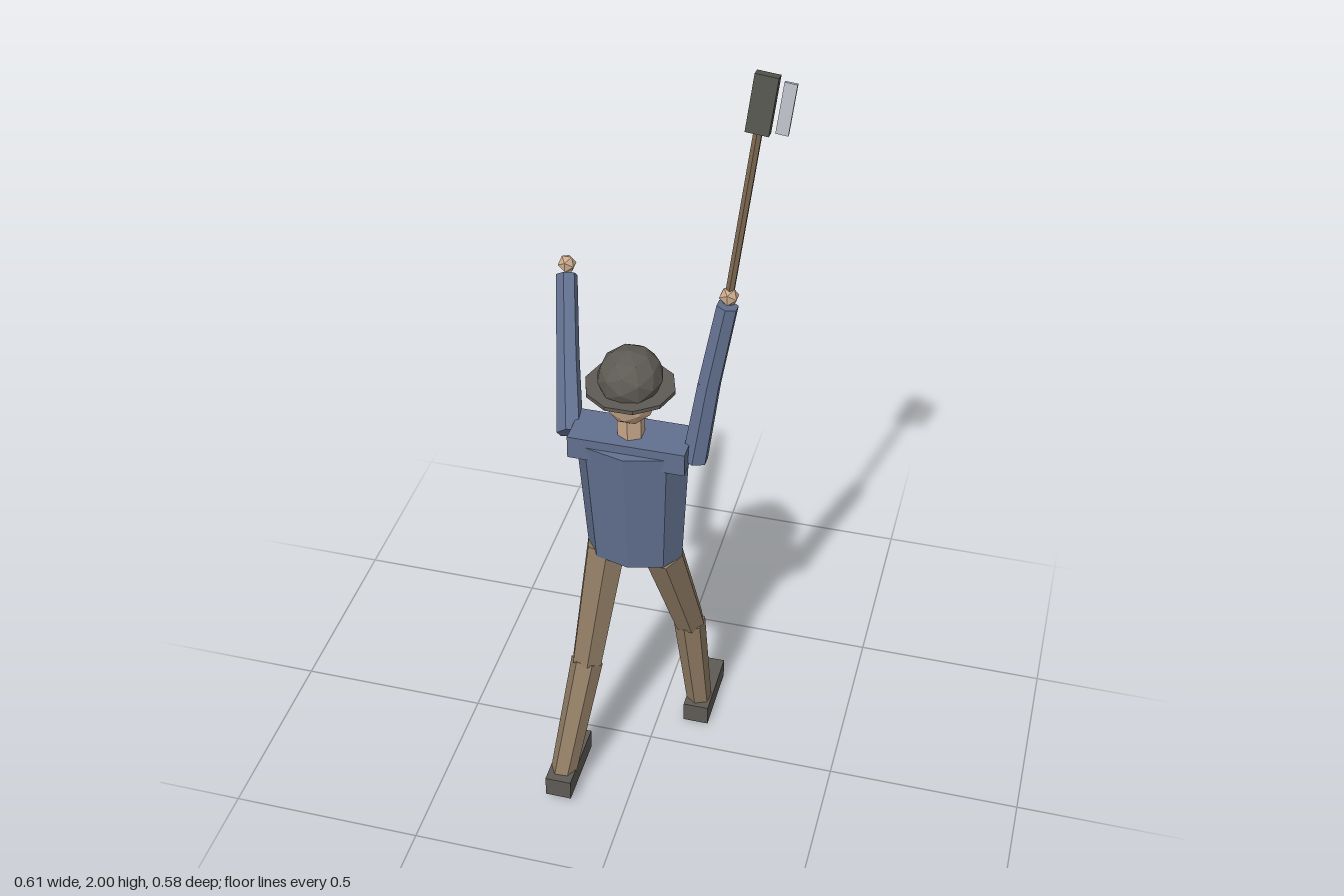
import * as THREE from 'three';

const mat = (name, color) => {
  const m = new THREE.MeshStandardMaterial({ color, flatShading: true });
  m.name = name;
  return m;
};

export function createModel() {
  const model = new THREE.Group();
  model.name = 'axeman';
  const shirt = mat('blue shirt', 0x62708f);
  const trousers = mat('tan trousers', 0x8f7b63);
  const skin = mat('skin', 0xcbaa8c);
  const dark = mat('dark felt and leather', 0x5e5a54);
  const packCloth = mat('pack cloth', 0x605a4e);
  const wood = mat('handle wood', 0x7a6650);
  const iron = mat('dark iron', 0x55554f);
  const steel = mat('bright steel', 0xb9bcc4);

  const V = (p) => new THREE.Vector3(...p);
  const up = new THREE.Vector3(0, 1, 0);

  const add = (name, geo, material, pos, parent = model) => {
    const mesh = new THREE.Mesh(geo, material);
    mesh.name = name;
    mesh.position.set(...pos);
    parent.add(mesh);
    return mesh;
  };

  // Tapered prism running from point a to point b
  const limb = (name, a, b, ra, rb, material, sides = 6) => {
    const dir = V(b).sub(V(a));
    const mid = V(a).add(V(b)).multiplyScalar(0.5);
    const geo = new THREE.CylinderGeometry(rb, ra, dir.length(), sides);
    const mesh = add(name, geo, material, mid.toArray());
    mesh.quaternion.setFromUnitVectors(up, dir.normalize());
    return mesh;
  };
  const box = (name, size, material, pos, parent) =>
    add(name, new THREE.BoxGeometry(...size), material, pos, parent);
  const ball = (name, r, detail, material, pos, scale = [1, 1, 1]) => {
    const mesh = add(name, new THREE.IcosahedronGeometry(r, detail), material, pos);
    mesh.scale.set(...scale);
    return mesh;
  };

  // Torso, shoulders and flat back pack
  const torso = limb('torso', [-0.034, 0.695, 0.027], [-0.034, 1.06, 0.05], 0.122, 0.143, shirt, 8);
  torso.scale.z = 0.59;
  box('shoulders', [0.29, 0.06, 0.12], shirt, [-0.034, 1.05, 0.05]);
  box('backPack', [0.125, 0.21, 0.026], packCloth, [-0.036, 0.865, -0.037]).rotation.x = 0.06;

  // Neck, head and brimmed hat
  limb('neck', [-0.035, 1.06, 0.052], [-0.035, 1.15, 0.056], 0.034, 0.034, skin);
  ball('head', 0.07, 1, skin, [-0.035, 1.2, 0.057], [0.96, 1.1, 1.02]);
  const brim = add('hatBrim', new THREE.CylinderGeometry(0.11, 0.11, 0.01, 10), dark, [-0.035, 1.222, 0.058]);
  brim.rotation.y = Math.PI / 2;
  ball('hatCrown', 0.085, 1, dark, [-0.035, 1.25, 0.057], [0.93, 0.83, 1.03]);

  // Arms: shoulder, elbow, wrist, hand
  const arms = {
    left: [[0.122, 1.03, 0.05], [0.148, 1.24, 0.026], [0.182, 1.45, 0.006], [0.184, 1.473, 0.002]],
    right: [[-0.19, 1.045, 0.048], [-0.24, 1.165, -0.11], [-0.282, 1.298, -0.252], [-0.287, 1.317, -0.272]],
  };
  for (const [side, [s, e, w, h]] of Object.entries(arms)) {
    limb(`${side}UpperArm`, s, e, 0.033, 0.029, shirt);
    limb(`${side}Forearm`, e, w, 0.029, 0.027, shirt);
    ball(`${side}Hand`, 0.024, 0, skin, h);
  }

  // Legs: hip, knee, ankle, foot centre
  const legs = {
    left: [[0.037, 0.695, 0.02], [0.08, 0.365, -0.1], [0.103, 0.05, -0.135], [0.104, 0.03, -0.187]],
    right: [[-0.108, 0.695, 0.03], [-0.142, 0.36, 0.112], [-0.175, 0.065, 0.245], [-0.175, 0.052, 0.194]],
  };
  for (const [side, [hip, knee, ankle, foot]] of Object.entries(legs)) {
    limb(`${side}Thigh`, hip, knee, 0.054, 0.042, trousers);
    limb(`${side}Shin`, knee, ankle, 0.042, 0.034, trousers);
    box(`${side}Shoe`, [0.068, 0.058, 0.197], dark, foot);
  }

  // Raised axe: handle, head and separate cutting edge
  const grip = [0.182, 1.455, 0.004];
  const tip = [0.226, 1.88, -0.06];
  const handle = limb('axeHandle', grip, tip, 0.011, 0.011, wood);
  const axe = new THREE.Group();
  axe.name = 'axeHead';
  axe.position.set(0.231, 1.931, -0.068);
  axe.quaternion.copy(handle.quaternion);
  model.add(axe);
  box('axeBlock', [0.054, 0.134, 0.027], iron, [0, 0, 0], axe);
  box('axeEdge', [0.029, 0.118, 0.009], steel, [0.053, 0, 0], axe);

  return model;
}
